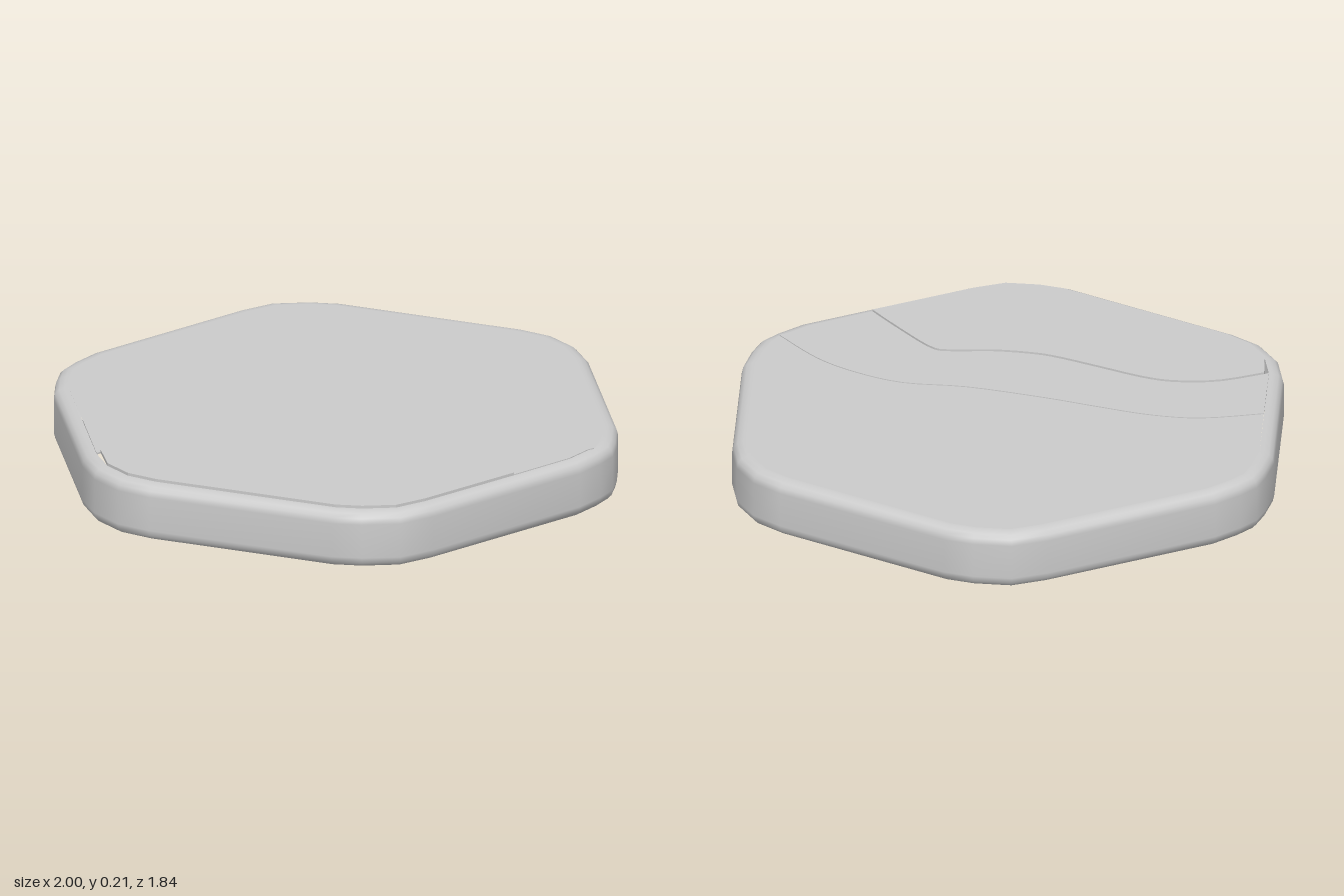
import * as THREE from 'three';

const material = new THREE.MeshStandardMaterial({ color: 0xcccccc, side: THREE.DoubleSide });

// Half of the rounded hexagon outline as [x, z]; the other half is turned by 180 degrees
const half = [
  [-0.32, -0.922], [0.34, -0.908], [0.46, -0.885], [0.57, -0.815], [0.65, -0.715],
  [0.95, -0.17], [0.985, -0.06], [1, 0.02], [0.985, 0.1], [0.95, 0.205],
  [0.62, 0.745], [0.54, 0.845], [0.42, 0.9],
];
const outline = [...half, ...half.map(([x, z]) => [-x, -z])];
const count = outline.length;

// Outline moved inwards by a distance
function insetRing(d) {
  return outline.map(([x, z], i) => {
    const [px, pz] = outline[(i + count - 1) % count];
    const [nx, nz] = outline[(i + 1) % count];
    const a = new THREE.Vector2(z - pz, px - x).normalize();
    const b = new THREE.Vector2(nz - z, x - nx).normalize();
    const n = a.clone().add(b).normalize();
    const k = d / n.dot(a);
    return [x - n.x * k, z - n.y * k];
  });
}

// Rounded side wall, open below: rings of [inset, height]
function rimGeometry() {
  const profile = [
    [0.04, 0], [0.018, 0.006], [0.005, 0.02], [0, 0.04],
    [0, 0.16], [0.005, 0.18], [0.018, 0.193], [0.036, 0.199], [0.05, 0.2],
  ];
  const positions = [], index = [];
  profile.forEach(([d, y], j) => {
    insetRing(d).forEach(([x, z], i) => {
      positions.push(x, y, z);
      if (j === profile.length - 1) return;
      const a = j * count + i, b = j * count + (i + 1) % count;
      index.push(a, a + count, b, b, a + count, b + count);
    });
  });
  const g = new THREE.BufferGeometry();
  g.setAttribute('position', new THREE.Float32BufferAttribute(positions, 3));
  g.setIndex(index);
  g.computeVertexNormals();
  return g;
}

// Smooth line through [x, z] points
function smoothLine(points, segments) {
  return new THREE.SplineCurve(points.map(([x, z]) => new THREE.Vector2(x, z)))
    .getPoints(segments).map((p) => [p.x, p.y]);
}

// Flat sheet, or a thin slab if it has a thickness; y is its upper face
function sheet(points, y, thickness = 0) {
  const shape = new THREE.Shape(points.map(([x, z]) => new THREE.Vector2(x, -z)));
  const g = thickness
    ? new THREE.ExtrudeGeometry(shape, { depth: thickness, bevelEnabled: false })
    : new THREE.ShapeGeometry(shape);
  return g.rotateX(-Math.PI / 2).translate(0, y - thickness, 0);
}

export function createModel() {
  const group = new THREE.Group();
  group.name = 'shoreTile';
  const add = (name, geometry) => {
    const mesh = new THREE.Mesh(geometry, material);
    mesh.name = name;
    group.add(mesh);
  };

  const ring = insetRing(0.05);
  // Line between ground and sand, left to right
  const shore = smoothLine([
    [-0.76, 0.41], [-0.6, 0.27], [-0.44, 0.2], [-0.25, 0.16], [-0.06, 0.125],
    [0.2, 0.06], [0.4, -0.025], [0.58, -0.04], [0.75, -0.014], [0.95, 0.07],
  ], 36);
  // Line between sand and water, left to right
  const waterline = smoothLine([
    [-0.6, 0.67], [-0.5, 0.54], [-0.38, 0.46], [-0.27, 0.43], [-0.1, 0.42],
    [0.06, 0.41], [0.15, 0.39], [0.27, 0.34], [0.39, 0.265], [0.46, 0.25],
    [0.62, 0.315], [0.78, 0.39],
  ], 36);

  add('rim', rimGeometry());
  add('ground', sheet([...ring.slice(18), ...ring.slice(0, 8), ...[...shore].reverse()], 0.2));
  add('sand', sheet(
    [...shore, ring[8], ring[9], ...[...waterline].reverse(), ring[17]], 0.203, 0.006));
  add('water', sheet([...waterline, ...ring.slice(10, 17)], 0.21, 0.012));
  return group;
}
